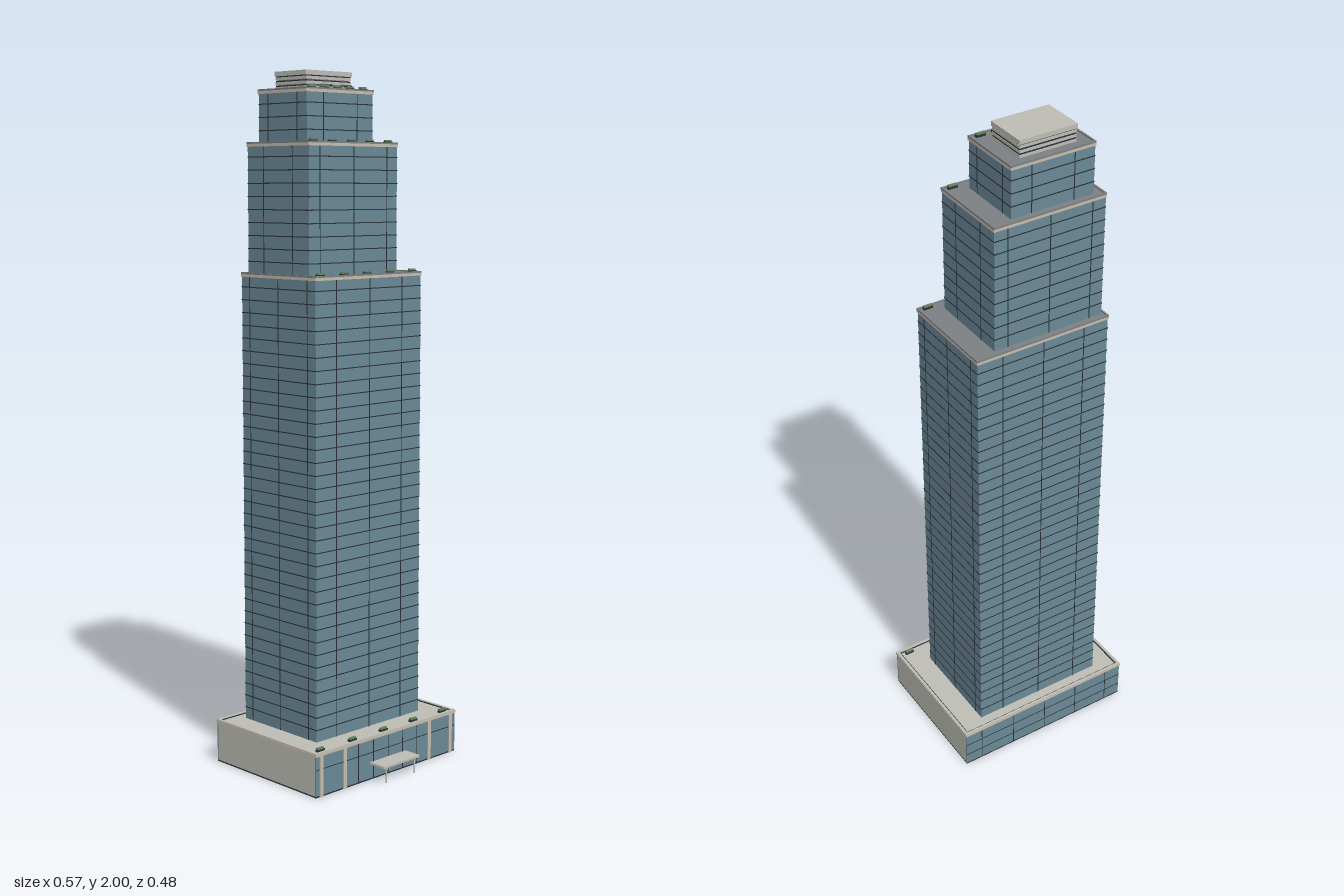
import * as THREE from 'three';

const mat = (name, color) => {
  const m = new THREE.MeshStandardMaterial({ color });
  m.name = name;
  return m;
};

export function createModel() {
  const glass = mat('blue glass', 0x6a8996);
  const dark = mat('dark mullion', 0x2a3238);
  const concrete = mat('pale concrete', 0xbdbdb5);
  const roof = mat('grey roof', 0x7c8083);
  const trim = mat('beige trim', 0xc6bcae);
  const green = mat('planting green', 0x64865a);
  const metal = mat('grey metal', 0x949a9f);

  const model = new THREE.Group();
  model.name = 'skyscraper';

  const group = (name, parent = model) => {
    const g = new THREE.Group();
    g.name = name;
    parent.add(g);
    return g;
  };
  // box given by its minimum and maximum on each axis
  const box = (parent, name, m, x0, x1, y0, y1, z0, z1) => {
    const mesh = new THREE.Mesh(new THREE.BoxGeometry(x1 - x0, y1 - y0, z1 - z0), m);
    mesh.position.set((x0 + x1) / 2, (y0 + y1) / 2, (z0 + z1) / 2);
    mesh.name = name;
    parent.add(mesh);
    return mesh;
  };
  // rectangular frame of four bars lying inside the given outline
  const frame = (parent, name, m, x0, x1, y0, y1, z0, z1, t) => {
    box(parent, name, m, x0, x1, y0, y1, z0, z0 + t);
    box(parent, name, m, x0, x1, y0, y1, z1 - t, z1);
    box(parent, name, m, x0, x0 + t, y0, y1, z0 + t, z1 - t);
    box(parent, name, m, x1 - t, x1, y0, y1, z0 + t, z1 - t);
  };
  const planter = (parent, x, y, z) => {
    box(parent, 'planterBox', dark, x - 0.014, x + 0.014, y, y + 0.006, z - 0.005, z + 0.005);
    box(parent, 'planterHedge', green, x - 0.012, x + 0.012, y + 0.006, y + 0.011, z - 0.0038, z + 0.0038);
  };

  // Podium: solid side walls, glazed front and back
  const podium = group('podium');
  const [px, pz0, pz1, py] = [0.285, -0.24, 0.185, 0.118];
  box(podium, 'podiumBase', dark, -px, px, 0, 0.004, pz0, pz1);
  box(podium, 'podiumBody', concrete, -px, px, 0.004, py, pz0 + 0.004, pz1 - 0.004);
  for (const [z0, z1] of [[pz0, pz0 + 0.004], [pz1 - 0.004, pz1]]) {
    box(podium, 'podiumGlazing', glass, -px, px, 0.004, py, z0, z1);
  }
  for (let i = 1; i < 3; i++) {
    const y = i * 0.04;
    box(podium, 'podiumBackTransom', dark, -px, px, y - 0.001, y + 0.001, pz0 - 0.001, pz0);
  }
  for (let i = -2; i <= 2; i++) {
    box(podium, 'podiumBackMullion', dark, i * 0.115 - 0.001, i * 0.115 + 0.001, 0.004, py, pz0 - 0.001, pz0);
    box(podium, 'podiumFrontMullion', dark, i * 0.06 - 0.001, i * 0.06 + 0.001, 0.004, py, pz1, pz1 + 0.001);
  }
  box(podium, 'podiumFrontTransom', dark, -px, px, 0.079, 0.081, pz1, pz1 + 0.001);
  for (const x of [-0.265, -0.174, 0.172, 0.264]) {
    box(podium, 'pilaster', trim, x - 0.006, x + 0.006, 0, py, pz1, pz1 + 0.003);
  }
  frame(podium, 'podiumCornice', trim, -px - 0.002, px + 0.002, py, 0.125, pz0 - 0.002, pz1 + 0.002, 0.01);
  frame(podium, 'podiumParapet', concrete, -px - 0.001, px + 0.001, 0.125, 0.128, pz0 - 0.001, pz1 + 0.001, 0.008);
  box(podium, 'podiumRoof', concrete, -px + 0.008, px - 0.008, py, 0.1235, pz0 + 0.008, pz1 - 0.008);
  frame(podium, 'roofGutter', dark, -px + 0.0075, px - 0.0075, 0.123, 0.126, pz0 + 0.0075, pz1 - 0.0075, 0.0025);

  // Entrance canopy on slim posts, with glass doors behind
  const entrance = group('entrance');
  box(entrance, 'canopy', concrete, -0.073, 0.073, 0.045, 0.052, pz1, 0.24);
  for (const s of [-1, 1]) {
    const post = new THREE.Mesh(new THREE.CylinderGeometry(0.0018, 0.0018, 0.045, 8), concrete);
    post.position.set(s * 0.058, 0.0225, 0.235);
    post.name = 'canopyPost';
    entrance.add(post);
    box(entrance, 'doorHandle', trim, s * 0.004 - 0.001, s * 0.004 + 0.001, 0.012, 0.026, pz1 + 0.001, pz1 + 0.003);
  }
  frame(entrance, 'canopyEdge', trim, -0.074, 0.074, 0.046, 0.051, pz1, 0.241, 0.002);

  // Stepped tower sections: glass, floor lines, mullions, cornice and roof
  const sections = [
    { name: 'lowerTower', x0: -0.209, x1: 0.207, z0: -0.2, z1: 0.107, y0: 0.122, y1: 1.435, floors: 36 },
    { name: 'middleTower', x0: -0.2, x1: 0.142, z0: -0.181, z1: 0.072, y0: 1.435, y1: 1.8, floors: 10 },
    { name: 'upperTower', x0: -0.174, x1: 0.08, z0: -0.162, z1: 0.036, y0: 1.8, y1: 1.946, floors: 4 },
  ];
  for (const s of sections) {
    const g = group(s.name);
    const { x0, x1, y0, y1, z0, z1 } = s;
    const e = 0.001;
    box(g, 'glassBody', glass, x0, x1, y0, y1, z0, z1);
    for (let i = 1; i < s.floors; i++) {
      const y = y0 + ((y1 - y0) * i) / s.floors;
      box(g, 'floorLine', dark, x0 - e, x1 + e, y - 0.0014, y + 0.0014, z0 - e, z1 + e);
    }
    const nx = Math.round((x1 - x0) / 0.13);
    const nz = Math.round((z1 - z0) / 0.12);
    for (let i = 0; i < nx; i++) {
      const x = (x0 + x1) / 2 + (i - (nx - 1) / 2) * 0.13;
      box(g, 'mullion', dark, x - 0.0012, x + 0.0012, y0, y1, z0 - e, z1 + e);
    }
    for (let i = 0; i < nz; i++) {
      const z = (z0 + z1) / 2 + (i - (nz - 1) / 2) * 0.12;
      box(g, 'mullion', dark, x0 - e, x1 + e, y0, y1, z - 0.0012, z + 0.0012);
    }
    box(g, 'cornice', trim, x0 - 0.002, x1 + 0.002, y1 - 0.008, y1, z0 - 0.002, z1 + 0.002);
    box(g, 'roofDeck', roof, x0, x1, y1, y1 + 0.0015, z0, z1);
    frame(g, 'parapet', roof, x0 - 0.002, x1 + 0.002, y1, y1 + 0.005, z0 - 0.002, z1 + 0.002, 0.005);
  }

  // Planters in a row along the front of each terrace
  const planters = group('planters');
  const rows = [
    [0, 0.125, 0.1235, 0.165],
    [0, 0.0907, 1.4365, 0.096],
    [-0.028, 0.0725, 1.8015, 0.06],
    [-0.046, 0.0495, 1.9475, 0.023],
  ];
  for (const [cx, step, y, z] of rows) {
    for (let i = -2; i <= 2; i++) planter(planters, cx + i * step, y, z);
  }

  // Small slatted pergolas on the top terrace
  for (const cx of [-0.082, -0.01]) {
    const pergola = group('pergola');
    for (let i = -2; i <= 2; i++) {
      const x = cx + i * 0.0075;
      box(pergola, 'pergolaSlat', metal, x - 0.0026, x + 0.0026, 1.96, 1.962, 0.006, 0.026);
    }
    for (const z of [0.008, 0.024]) {
      box(pergola, 'pergolaBeam', dark, cx - 0.018, cx + 0.018, 1.9585, 1.96, z - 0.001, z + 0.001);
      for (const s of [-1, 1]) {
        const x = cx + s * 0.017;
        box(pergola, 'pergolaPost', metal, x - 0.001, x + 0.001, 1.9475, 1.9585, z - 0.001, z + 0.001);
      }
    }
  }

  // Louvred plant room with a flat cap
  const crown = group('plantRoom');
  const [cx0, cx1, cz0, cz1] = [-0.134, 0.042, -0.14, -0.009];
  box(crown, 'plantCore', roof, cx0 + 0.006, cx1 - 0.006, 1.946, 1.988, cz0 + 0.006, cz1 - 0.006);
  for (const y of [1.95, 1.963, 1.976]) {
    box(crown, 'louvre', concrete, cx0 + 0.002, cx1 - 0.002, y, y + 0.008, cz0 + 0.002, cz1 - 0.002);
    box(crown, 'louvreGap', dark, cx0 + 0.003, cx1 - 0.003, y + 0.008, y + 0.011, cz0 + 0.003, cz1 - 0.003);
  }
  box(crown, 'cap', concrete, cx0, cx1, 1.987, 2, cz0, cz1);

  return model;
}
